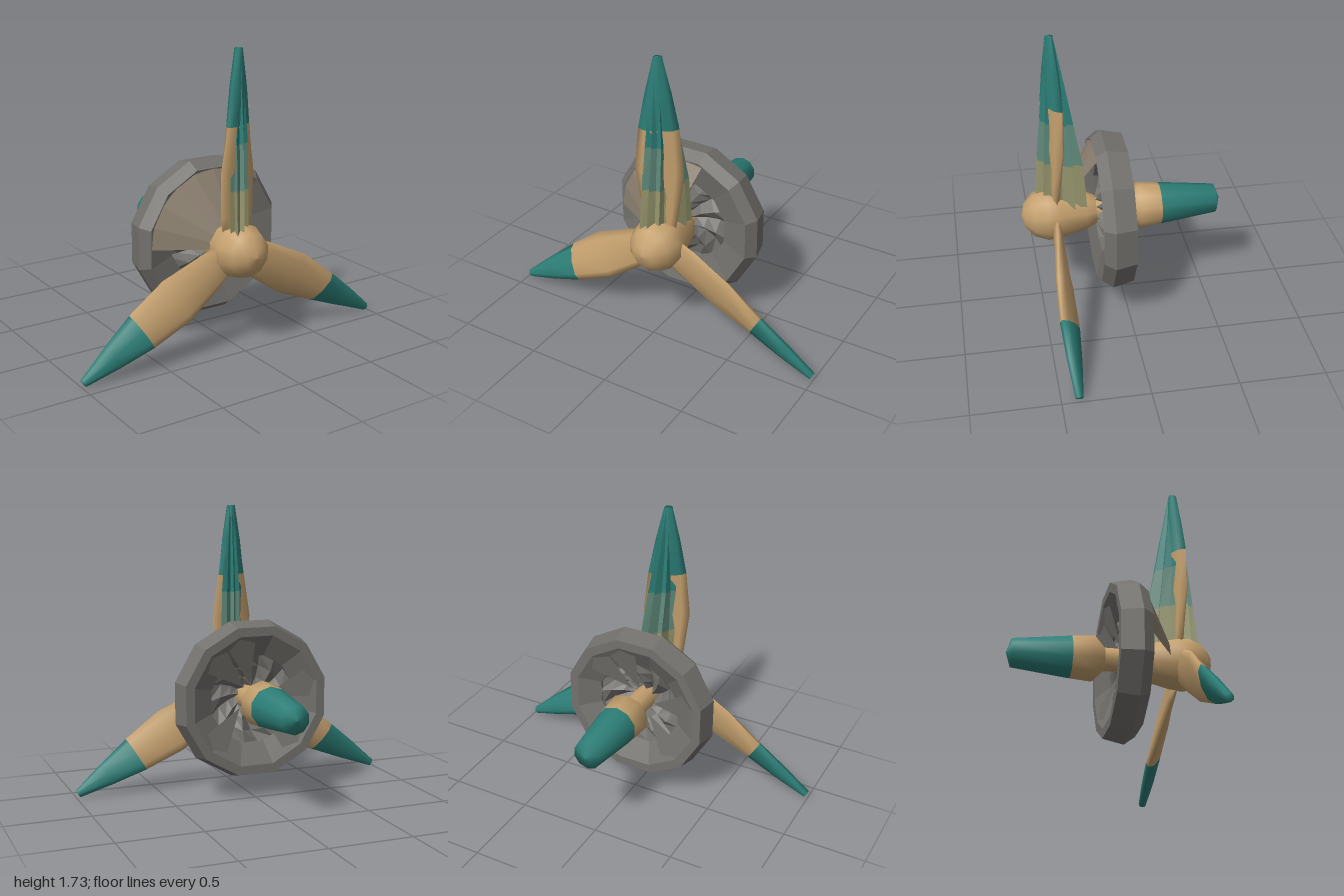
import * as THREE from 'three';

const CY = 0.595; // height of the spin axis
const mat = (color, flatShading) => new THREE.MeshStandardMaterial({ color, flatShading, side: THREE.DoubleSide });
const tan = mat(0xc4a06e, false), teal = mat(0x2c7d76, false);
const grey = mat(0x73716d, true), warmGrey = mat(0x8a7e6e, true);
const olive = mat(0x94946c, true), sage = mat(0x5f897a, true), foldTeal = mat(0x2c7d76, true);

function add(parent, name, geometry, material) {
  const mesh = new THREE.Mesh(geometry, material);
  mesh.name = name;
  parent.add(mesh);
  return mesh;
}

// Profile of [radius, z] turned about the z axis
function turned(profile, sides, phase = 0) {
  const g = new THREE.LatheGeometry(profile.map(([r, z]) => new THREE.Vector2(r, z)), sides, phase);
  return g.rotateX(Math.PI / 2);
}

// Loose triangles from a flat list of corners
function triangles(corners) {
  const g = new THREE.BufferGeometry();
  g.setAttribute('position', new THREE.Float32BufferAttribute(corners.flat(), 3));
  g.computeVertexNormals();
  return g;
}

// Point at an angle (degrees) around the axis
function polar(r, degrees, z) {
  const a = THREE.MathUtils.degToRad(degrees);
  return [r * Math.cos(a), r * Math.sin(a), z];
}

// Joins closed rings of points with quads; ends optionally capped
function loft(rings, capStart, capEnd) {
  const n = rings[0].length, pos = rings.flat(2), index = [];
  for (let i = 0; i < rings.length - 1; i++) {
    for (let j = 0; j < n; j++) {
      const a = i * n + j, b = i * n + (j + 1) % n;
      index.push(a, b, b + n, a, b + n, a + n);
    }
  }
  const last = (rings.length - 1) * n;
  for (let j = 1; j < n - 1; j++) {
    if (capStart) index.push(0, j + 1, j);
    if (capEnd) index.push(last, last + j, last + j + 1);
  }
  const g = new THREE.BufferGeometry();
  g.setAttribute('position', new THREE.Float32BufferAttribute(pos, 3));
  g.setIndex(index);
  g.computeVertexNormals();
  return g;
}

// Oval blade section: height, half width, half thickness, pitch
function section([y, w, t, pitch]) {
  const ring = [];
  for (let j = 0; j < 8; j++) {
    const a = -j / 8 * Math.PI * 2;
    const x = w * Math.cos(a), z = t * Math.sin(a);
    ring.push([x * Math.cos(pitch) - z * Math.sin(pitch), y, x * Math.sin(pitch) + z * Math.cos(pitch)]);
  }
  return ring;
}

function makeBlade() {
  const blade = new THREE.Group();
  const inner = [[0.05, 0.09, 0.028, 0], [0.2, 0.115, 0.03, -0.1], [0.46, 0.142, 0.04, -0.28], [0.72, 0.113, 0.039, -0.45]];
  const outer = [inner[3], [0.93, 0.073, 0.036, -0.45], [1.14, 0.024, 0.023, -0.35]];
  add(blade, 'bladeBody', loft(inner.map(section), true, false), tan);
  add(blade, 'bladeTip', loft(outer.map(section), false, true), teal);
  return blade;
}

// Pleated shroud section, leaning right at the front and left at the back
function shroudRing([y, w, front, back]) {
  const ring = [];
  for (let j = 0; j < 20; j++) {
    const a = -j / 20 * Math.PI * 2, k = j % 2 ? 0.72 : 1;
    const z = k * Math.sin(a) * (Math.sin(a) > 0 ? front : back);
    ring.push([w * k * Math.cos(a) - 0.42 * z, y, z]);
  }
  return ring;
}

export function createModel() {
  const model = new THREE.Group();
  model.name = 'propeller';

  // Rounded hub and the shaft through the wheel
  const axis = new THREE.Group();
  axis.name = 'axle';
  axis.position.y = CY;
  model.add(axis);
  add(axis, 'hub', turned([[0, 0.6], [0.07, 0.585], [0.13, 0.53], [0.16, 0.45], [0.153, 0.38], [0.115, 0.22], [0.085, 0.16]], 10), tan);
  add(axis, 'shaft', turned([[0.07, 0.2], [0.07, -0.04]], 10), tan);

  // Three blades around the hub
  for (let i = 0; i < 3; i++) {
    const blade = makeBlade();
    blade.name = 'blade' + (i + 1);
    blade.position.set(0, CY, 0.4);
    blade.rotation.z = i * Math.PI * 2 / 3;
    model.add(blade);
  }

  // Pleated pieces running up the top blade
  const shroud = new THREE.Group();
  shroud.name = 'topShroud';
  shroud.position.set(0, CY, 0.4);
  model.add(shroud);
  const levels = [
    [0.08, 0.075, 0.12, 0.19], [0.36, 0.075, 0.095, 0.17], [0.62, 0.07, 0.07, 0.12],
    [0.85, 0.05, 0.05, 0.078], [1.14, 0.02, 0.022, 0.022],
  ].map(shroudRing);
  add(shroud, 'shroudBase', loft(levels.slice(0, 2), false, false), olive);
  add(shroud, 'shroudMiddle', loft(levels.slice(1, 3), false, false), sage);
  add(shroud, 'shroudTip', loft(levels.slice(2), false, true), foldTeal);

  // Bevelled twelve-sided wheel with a dished back
  add(axis, 'wheelRim', turned([
    [0.27, 0.13], [0.435, 0.168], [0.482, 0.105], [0.455, -0.02], [0.4, -0.02], [0.27, 0.05], [0.27, 0.13],
  ], 12, Math.PI / 12), grey);

  // Crumpled web between rim and shaft
  const web = [0.28, 0.2, 0.13, 0.072].map((r, k) => {
    const ring = [];
    for (let j = 0; j < 18; j++) {
      const fold = (k === 0 ? 0.01 : 0.025) * (j % 2 ? 1 : -1);
      ring.push(polar(r, (j + 0.35 * k) * 20, 0.06 + 0.025 * k + fold));
    }
    return ring;
  });
  add(axis, 'wheelWeb', loft(web, false, false), grey);

  // Broad uneven gussets across the dished back
  const gussets = [30, 60, 150, 210, 300].flatMap((a) => [
    polar(0.41, a, -0.015), polar(0.09, a + 25, 0.07), polar(0.41, a + 30, -0.015),
  ]);
  add(axis, 'wheelGussets', triangles(gussets), grey);

  // Slanted stays from the upper left of the rim to the hub
  const stays = [];
  for (let a = 72; a < 180; a += 18) {
    const rimA = polar(0.42, a, 0.165), rimB = polar(0.42, a + 18, 0.165);
    const hubA = polar(0.12, a, 0.34), hubB = polar(0.12, a + 18, 0.34);
    stays.push(rimA, rimB, hubB, rimA, hubB, hubA);
  }
  add(axis, 'stays', triangles(stays), warmGrey);

  // Tapered handle behind the wheel
  add(axis, 'handleCollar', turned([[0.07, -0.035], [0.137, -0.1], [0.126, -0.23]], 10), tan);
  add(axis, 'handleGrip', turned([[0.126, -0.23], [0.086, -0.57], [0, -0.6]], 10), teal);

  return model;
}
